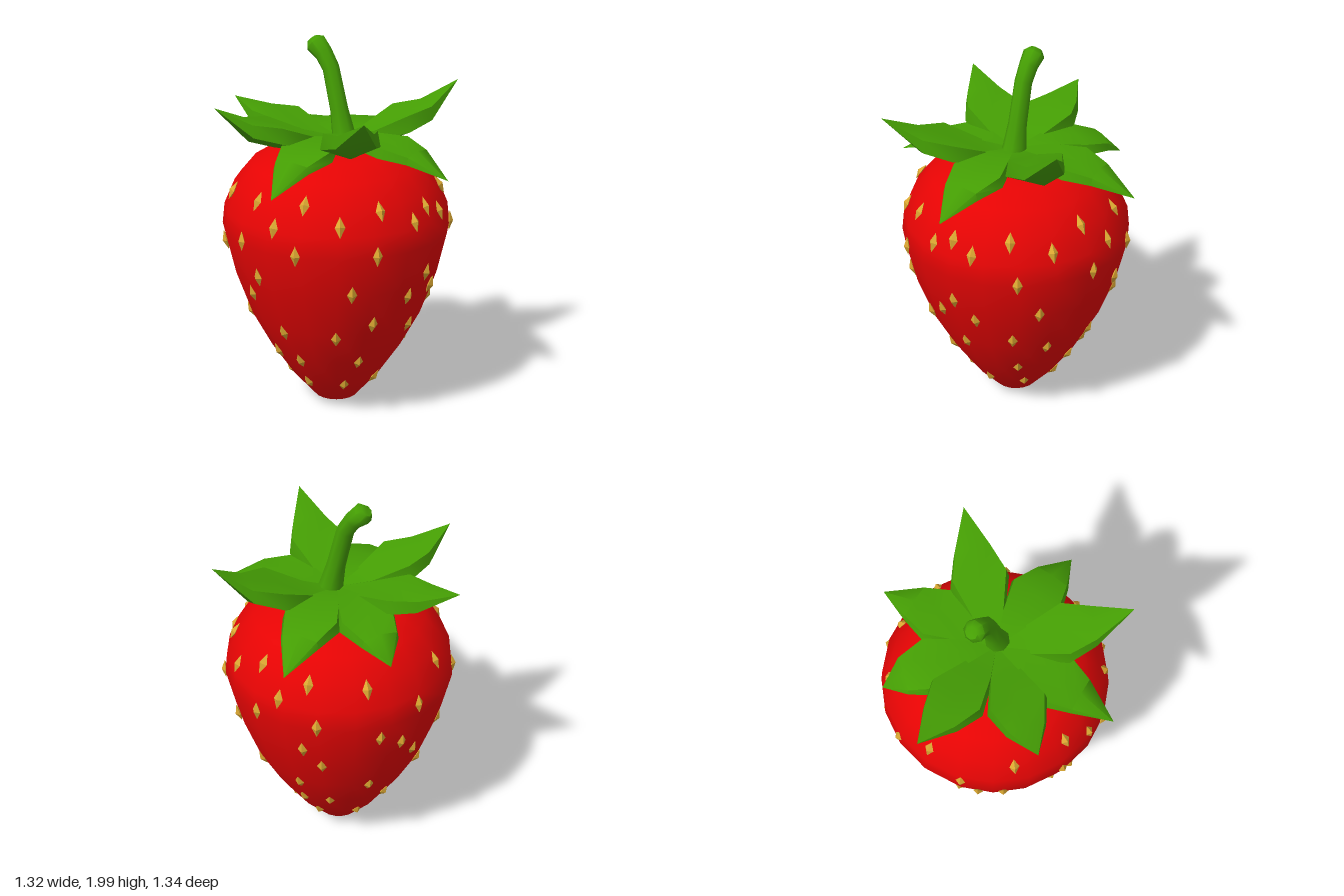
import * as THREE from 'three';
import { mergeGeometries, toCreasedNormals } from 'three/addons/utils/BufferGeometryUtils.js';

// Berry outline as [radius, height]
const PROFILE = [
  [0, 0.005], [0.12, 0.035], [0.235, 0.17], [0.36, 0.36], [0.465, 0.56], [0.55, 0.8], [0.6, 1.02],
  [0.587, 1.13], [0.53, 1.26], [0.445, 1.36], [0.33, 1.43], [0.16, 1.455], [0, 1.46],
];
const BERRY_X = -0.012;

function radiusAt(y) {
  for (let i = 1; i < PROFILE.length; i++) {
    const [r0, y0] = PROFILE[i - 1], [r1, y1] = PROFILE[i];
    if (y <= y1) return r0 + (r1 - r0) * (y - y0) / (y1 - y0);
  }
  return 0;
}

// Joins closed cross-sections (arrays of Vector3) into one surface
function skin(sections, crease) {
  const n = sections[0].length, index = [];
  for (let i = 0; i < sections.length - 1; i++) {
    for (let j = 0; j < n; j++) {
      const k = (j + 1) % n;
      const a = i * n + j, b = i * n + k, c = (i + 1) * n + k, d = (i + 1) * n + j;
      index.push(a, b, c, a, c, d);
    }
  }
  const geometry = new THREE.BufferGeometry().setFromPoints(sections.flat());
  geometry.setIndex(index);
  return toCreasedNormals(geometry, crease);
}

// Thick leaf with rounded sides and a keel below, running from the centre to the tip
function leafGeometry([tx, ty, tz]) {
  const length = Math.hypot(tx, tz);
  const dir = new THREE.Vector3(tx / length, 0, tz / length);
  const side = new THREE.Vector3(dir.z, 0, -dir.x);
  const lift = ty - 1.5;
  // distance, half width, edge height, ridge height, keel height
  const stations = [
    [0, 0, 1.49, 1.49, 1.44],
    [0.16, 0.085, 1.52, 1.52, 1.43],
    [0.34, 0.152, 1.545 + lift * 0.25, 1.54 + lift * 0.25, 1.44 + lift * 0.1],
    [0.48, 0.1, 1.53 + lift * 0.42, 1.545 + lift * 0.42, 1.45 + lift * 0.28],
    [length, 0, ty, ty, ty],
  ];
  return skin(stations.map(([r, w, edge, ridge, keel]) => {
    const at = (s, y) => dir.clone().multiplyScalar(r).addScaledVector(side, s).setY(y);
    const low = edge + (keel - edge) * 0.6;
    return [at(w, low), at(w * 0.9, edge), at(0, ridge), at(-w * 0.9, edge), at(-w, low), at(0, keel)];
  }), 1.0);
}

// Bent stem: rings of [x, y, radius, lean of the axis toward -x]
function stemGeometry() {
  const rings = [
    [0.04, 1.44, 0.075, 0.1], [0.022, 1.52, 0.06, 0.15], [-0.003, 1.63, 0.048, 0.2],
    [-0.055, 1.84, 0.045, 0.4], [-0.1, 1.91, 0.048, 0.7], [-0.15, 1.957, 0.056, 0.8],
    [-0.17, 1.977, 0.032, 0.75], [-0.17, 1.977, 0, 0.75],
  ];
  const sides = 8;
  return skin(rings.map(([x, y, r, lean]) => {
    const ax = -Math.sin(lean), ay = Math.cos(lean);
    return Array.from({ length: sides }, (_, j) => {
      const a = (j + 0.5) / sides * Math.PI * 2;
      const u = Math.cos(a) * r, v = Math.sin(a) * r;
      return new THREE.Vector3(x + ay * v, y - ax * v, u - 0.015);
    });
  }), 0.9);
}

// Diamond seed lying on the berry surface
function seedGeometry(x, y, front) {
  const r = radiusAt(y);
  const cx = THREE.MathUtils.clamp((x - BERRY_X) / r, -1, 1);
  const out = new THREE.Vector3(cx, 0, front * Math.sqrt(1 - cx * cx));
  const slope = (radiusAt(y + 0.05) - radiusAt(y - 0.05)) / 0.1;
  const up = out.clone().multiplyScalar(slope).setY(1).normalize();
  const side = new THREE.Vector3(0, 1, 0).cross(out).normalize();
  const normal = side.clone().cross(up);
  const place = new THREE.Matrix4().makeBasis(side, up, normal);
  place.setPosition(out.x * r + BERRY_X, y, out.z * r);
  const seed = new THREE.OctahedronGeometry(1);
  seed.scale(0.026, 0.054, 0.02);
  return seed.applyMatrix4(place);
}

export function createModel() {
  const model = new THREE.Group();
  model.name = 'strawberry';

  const material = (name, color) => {
    const m = new THREE.MeshStandardMaterial({ color });
    m.name = name;
    return m;
  };
  const red = material('berry red', 0xe60404);
  const green = material('leaf green', 0x459e04);
  const gold = material('seed gold', 0xdca832);

  const add = (name, geometry, mat, parent = model) => {
    const mesh = new THREE.Mesh(geometry, mat);
    mesh.name = name;
    parent.add(mesh);
    return mesh;
  };

  // Berry
  const outline = PROFILE.map(([r, y]) => new THREE.Vector2(r, y));
  add('berry', new THREE.LatheGeometry(outline, 20), red).position.x = BERRY_X;

  // Seeds as [x, y], mirrored front to back
  const pairs = [
    [-0.12, 1.25], [0.15, 1.27], [0.02, 1.15], [0.33, 1.18], [-0.38, 1.23], [0.45, 1.24],
    [-0.19, 1.04], [0.15, 1.03], [0.48, 1.03], [-0.45, 0.94], [-0.57, 1.08], [0.55, 1.16],
    [-0.1, 0.86], [-0.51, 0.86], [-0.18, 0.74], [0.37, 0.82], [-0.52, 0.74], [0.51, 0.75],
    [-0.35, 0.54], [-0.02, 0.54], [0.25, 0.54], [0.4, 0.62],
    [-0.35, 0.36], [-0.14, 0.37], [0.01, 0.35], [0.28, 0.36],
    [-0.2, 0.18], [-0.02, 0.18], [0.16, 0.18],
  ];
  // Single seeds on the two sides
  const singles = [[1, 1.21], [1, 0.86], [1, 0.55], [1, 0.19], [-1, 1.22], [-1, 0.56]];
  const seeds = singles.map(([x, y]) => seedGeometry(x, y, 1));
  for (const [x, y] of pairs) seeds.push(seedGeometry(x, y, 1), seedGeometry(x, y, -1));
  add('seeds', mergeGeometries(seeds), gold);

  // Leaf crown, one leaf per tip
  const crown = new THREE.Group();
  crown.name = 'leafCrown';
  model.add(crown);
  const tips = [
    [0.66, 1.36, -0.01], [0.48, 1.72, 0.47], [0.08, 1.33, 0.67], [-0.38, 1.69, 0.53],
    [-0.66, 1.62, 0.03], [-0.48, 1.37, -0.35], [-0.07, 1.37, -0.67], [0.41, 1.75, -0.51],
  ];
  tips.forEach((tip, i) => add(`leaf${i + 1}`, leafGeometry(tip), green, crown));

  // Stem
  add('stem', stemGeometry(), green);

  return model;
}
